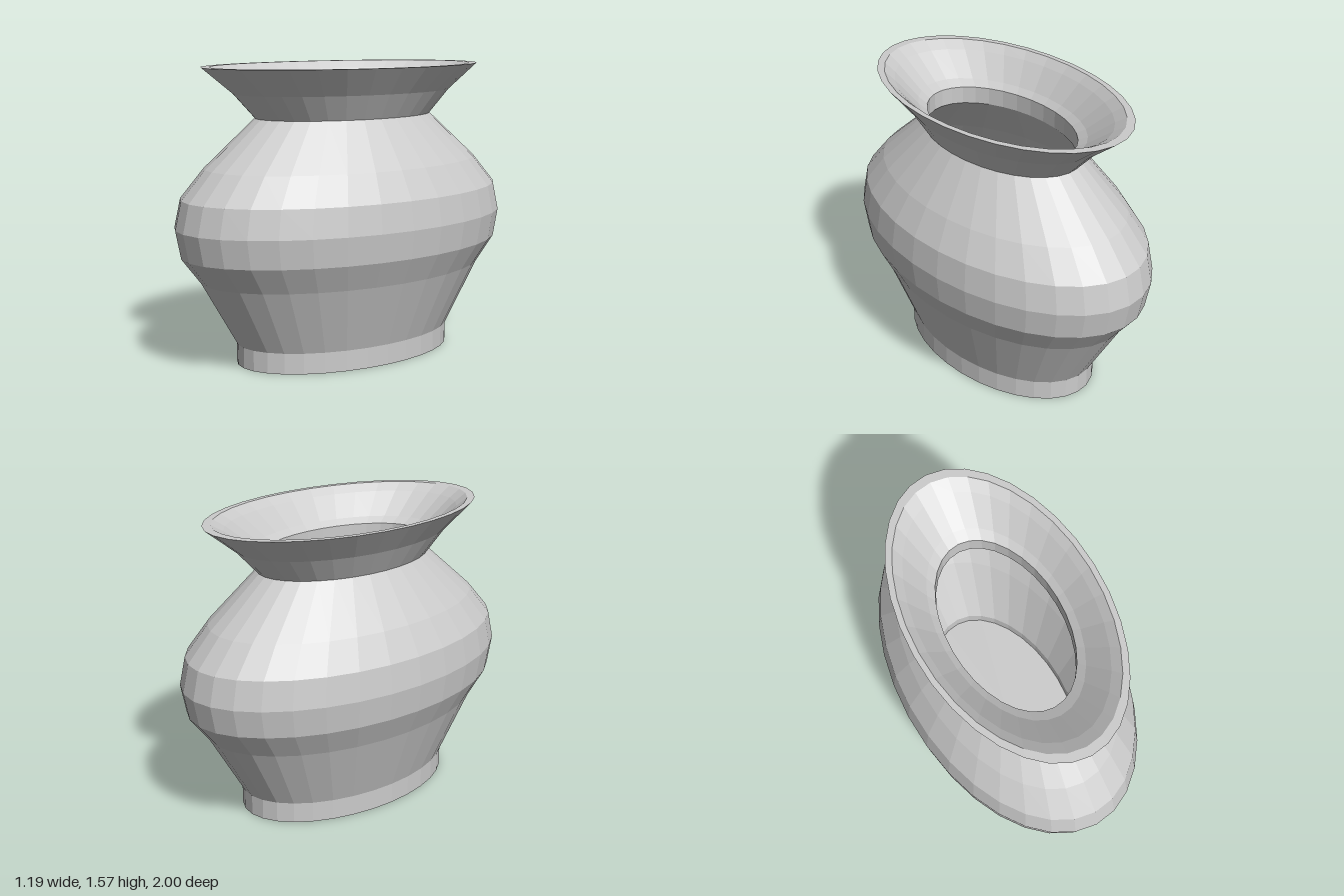
import * as THREE from 'three';

const SEGMENTS = 32;
const SQUASH = 0.597; // width of the oval relative to its depth

// Flat-shaded oval solid turned from a [radius, height] profile
function ovalLathe(name, profile) {
  const points = profile.map(([r, y]) => new THREE.Vector2(r, y));
  const geometry = new THREE.LatheGeometry(points, SEGMENTS);
  geometry.scale(SQUASH, 1, 1);
  const mesh = new THREE.Mesh(
    geometry,
    new THREE.MeshStandardMaterial({ color: 0xcccccc, flatShading: true })
  );
  mesh.name = name;
  return mesh;
}

export function createModel() {
  const vase = new THREE.Group();
  vase.name = 'vase';

  // Base underside and straight foot
  vase.add(ovalLathe('foot', [[0, 0], [0.655, 0], [0.655, 0.11]]));

  // Swelling belly up to the neck
  vase.add(ovalLathe('body', [
    [0.655, 0.11], [0.86, 0.46], [0.97, 0.6], [1, 0.75],
    [0.965, 0.9], [0.83, 1.05], [0.535, 1.3],
  ]));

  // Flared mouth: outside, lip, inner funnel and throat
  vase.add(ovalLathe('rim', [
    [0.535, 1.3], [0.66, 1.43], [0.84, 1.57], [0.79, 1.57],
    [0.72, 1.53], [0.56, 1.415], [0.5, 1.385], [0.5, 1.29],
  ]));

  // Hollow inside, running down from the throat to the floor
  vase.add(ovalLathe('interior', [
    [0.5, 1.29], [0.79, 1.03], [0.915, 0.88], [0.95, 0.75],
    [0.92, 0.62], [0.82, 0.48], [0.61, 0.12], [0.61, 0.05], [0, 0.05],
  ]));

  return vase;
}
